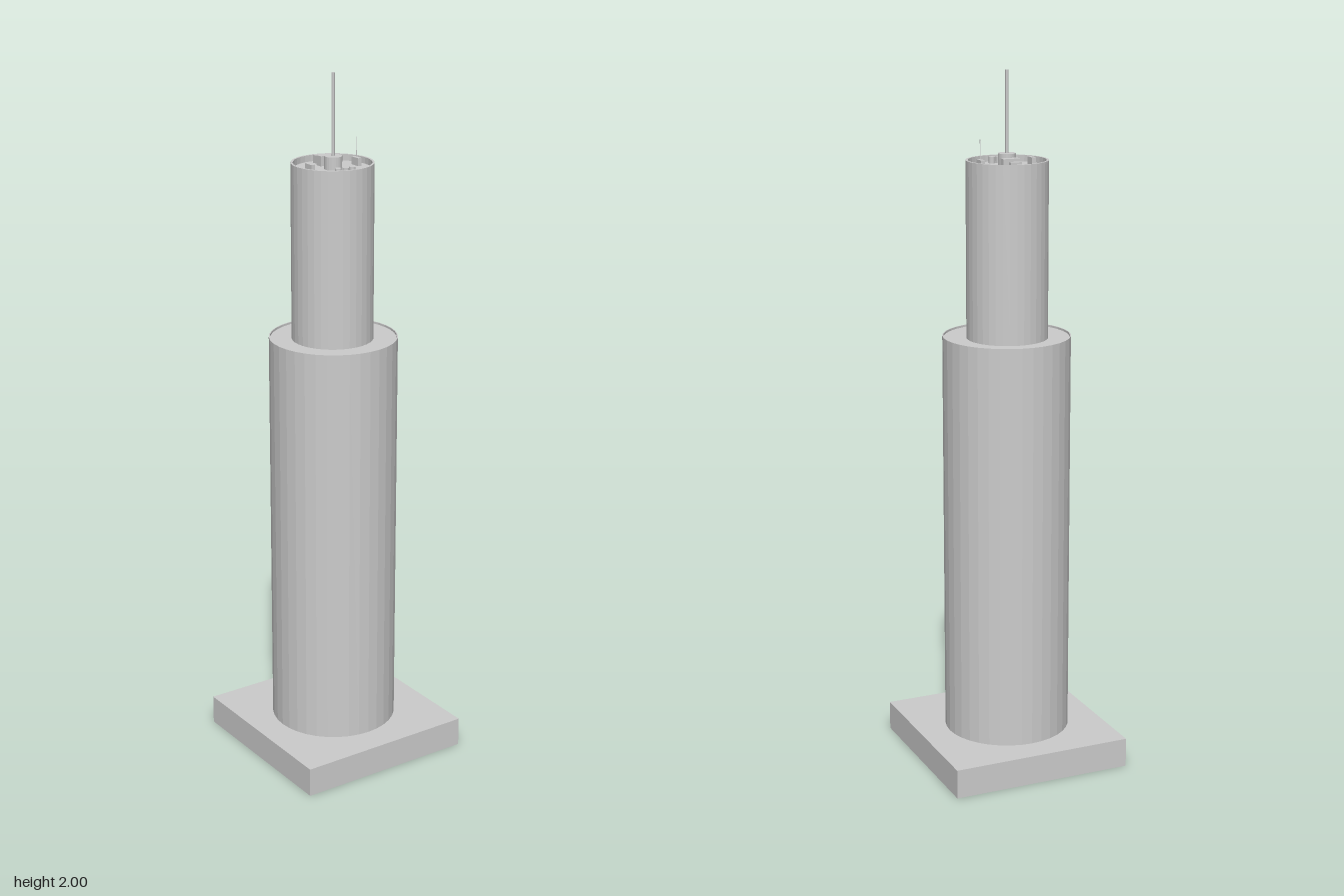
import * as THREE from 'three';

const SIDES = 36;

export function createModel() {
  const tower = new THREE.Group();
  tower.name = 'tower';
  const mat = new THREE.MeshStandardMaterial({ color: 0xcccccc, flatShading: true });

  const add = (name, geometry, x, y, z) => {
    const mesh = new THREE.Mesh(geometry, mat);
    mesh.name = name;
    mesh.position.set(x, y, z);
    tower.add(mesh);
  };
  // Box and cylinder placed by the height of their underside
  const box = (name, w, h, d, x, y, z) =>
    add(name, new THREE.BoxGeometry(w, h, d), x, y + h / 2, z);
  const rod = (name, r, h, x, y, z, sides = 16) =>
    add(name, new THREE.CylinderGeometry(r, r, h, sides), x, y + h / 2, z);
  // Drum with a raised rim around a recessed flat top
  const drum = (name, r, inner, y0, y1, floor, x, z) => {
    const profile = [[0, y0], [r, y0], [r, y1], [inner, y1], [inner, floor], [0, floor]]
      .map(([px, py]) => new THREE.Vector2(px, py));
    add(name, new THREE.LatheGeometry(profile, SIDES), x, 0, z);
  };

  // Plinth and the two stacked shafts
  box('base', 0.533, 0.085, 0.533, 0, 0, 0);
  drum('lowerShaft', 0.182, 0.179, 0.085, 1.26, 1.254, -0.003, -0.002);
  drum('upperShaft', 0.1155, 0.109, 1.25, 1.755, 1.737, -0.003, -0.006);

  // Central mast on its hub
  const roof = 1.737;
  rod('mastHub', 0.025, 1.773 - roof, -0.003, roof, -0.003, 24);
  rod('mast', 0.0045, 2 - 1.77, -0.003, 1.77, -0.003, 12);

  // Rooftop plant
  box('rearUnit', 0.032, 0.022, 0.016, 0.01, roof, -0.089);
  box('largeUnit', 0.05, 0.028, 0.021, 0.01, roof, -0.056);
  for (const x of [-0.077, 0.077]) box('sideUnit', 0.011, 0.022, 0.032, x, roof, -0.006);
  for (const [x, z] of [[-0.034, 0.066], [-0.011, 0.07], [0.01, 0.07]])
    rod('roofVent', 0.009, 0.018, x, roof, z);
  rod('whipAerial', 0.001, 1.815 - roof, 0.08, roof, -0.01, 6);

  return tower;
}
